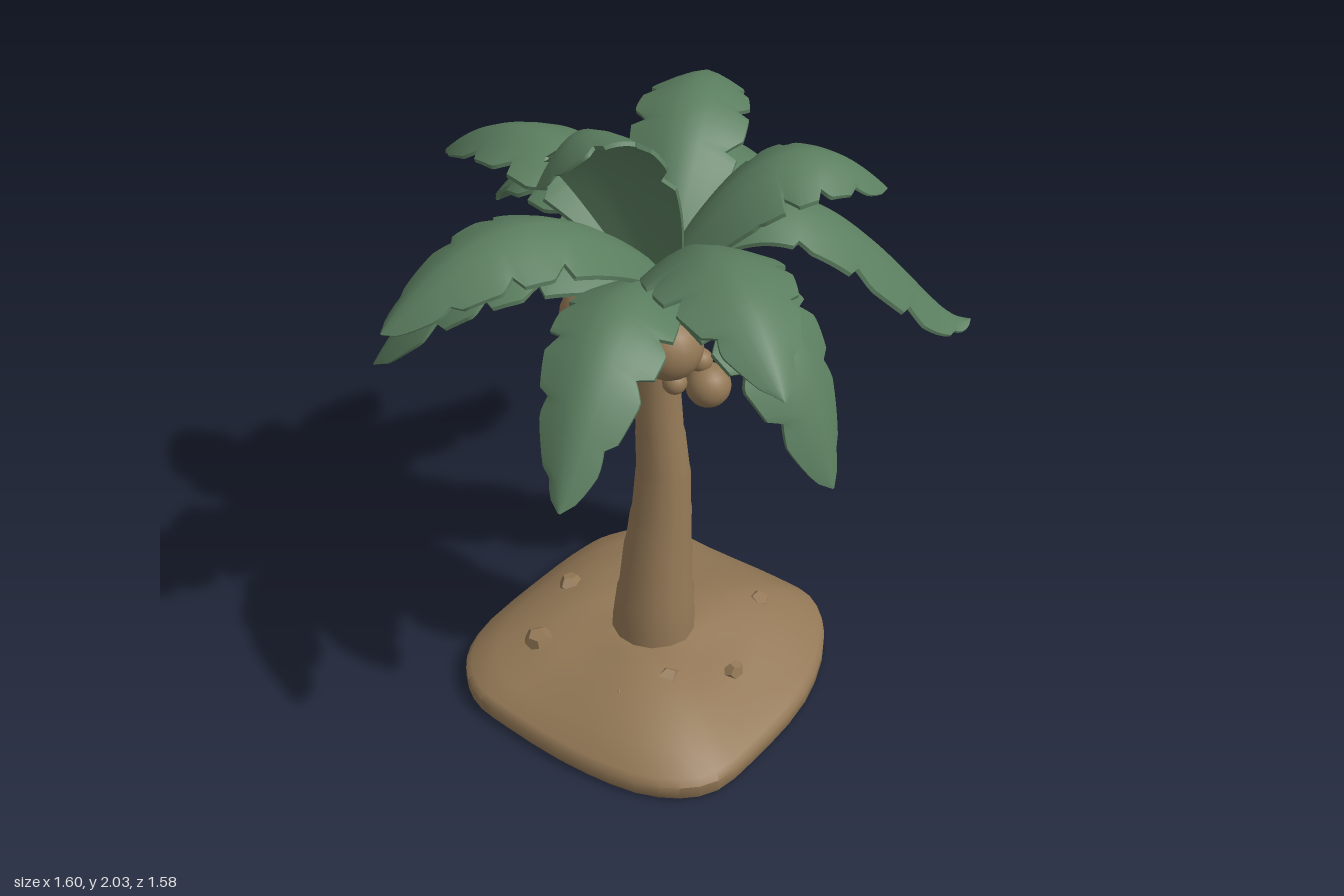
import * as THREE from 'three';
import { toCreasedNormals } from 'three/addons/utils/BufferGeometryUtils.js';

const bark = new THREE.MeshStandardMaterial({ color: 0x937856 });
bark.name = 'bark brown';
const frond = new THREE.MeshStandardMaterial({ color: 0x5b7e5f });
frond.name = 'frond green';

// Skin a list of closed rings (arrays of Vector3) into one surface
function loft(rings, crease = 0.7) {
  const n = rings[0].length, pos = [], idx = [];
  rings.forEach(r => r.forEach(p => pos.push(p.x, p.y, p.z)));
  for (let i = 0; i < rings.length - 1; i++) {
    for (let j = 0; j < n; j++) {
      const a = i * n + j, b = i * n + (j + 1) % n;
      idx.push(a, b, a + n, b, b + n, a + n);
    }
  }
  const g = new THREE.BufferGeometry();
  g.setAttribute('position', new THREE.Float32BufferAttribute(pos, 3));
  g.setIndex(idx);
  return toCreasedNormals(g, crease);
}

// Sandy mound: a rounded, skewed square outline shrunk towards the trunk
function moundGeometry() {
  const outline = [[0.2, -0.5], [0.36, -0.43], [0.45, -0.2], [0.53, 0.03], [0.55, 0.13], [0.48, 0.28],
    [0.28, 0.44], [0, 0.54], [-0.2, 0.57], [-0.34, 0.48], [-0.45, 0.28], [-0.53, 0], [-0.55, -0.15],
    [-0.5, -0.28], [-0.39, -0.37], [-0.1, -0.46], [0.1, -0.5]].map(p => new THREE.Vector3(p[0], 0, p[1]));
  const loop = new THREE.CatmullRomCurve3(outline.reverse(), true).getPoints(48).slice(0, -1);
  const centre = new THREE.Vector3(-0.02, 0, 0.03);
  const profile = [[0, 0], [0.98, 0], [1, 0.015], [1, 0.055], [0.97, 0.075], [0.83, 0.112],
    [0.68, 0.15], [0.52, 0.176], [0.35, 0.192], [0.24, 0.2], [0, 0.205]];
  return loft(profile.map(([s, y]) => loop.map(p => {
    const q = centre.clone().lerp(p, s);
    const bump = s < 0.9 && s > 0.3 ? 0.012 * Math.sin(3 * Math.atan2(p.z, p.x) + 1) : 0;
    q.y = y + bump;
    return q;
  })));
}

// Trunk: stacked segments, each with a slightly proud upper rim
function trunkGeometry() {
  const path = new THREE.CatmullRomCurve3([
    [-0.013, 0.17, 0.035], [0, 0.5, 0.045], [0.016, 0.8, 0.045], [0.002, 1.05, 0.037], [0, 1.48, 0.035],
  ].map(p => new THREE.Vector3(...p)));
  const levels = [0.17, 0.34, 0.5, 0.64, 0.79, 0.94, 1.08, 1.22, 1.48];
  const radius = y => 0.062 + 0.07 * Math.pow(Math.max(0, (1.2 - y) / 1.03), 1.5);
  const rings = [];
  const ring = (y, r, k) => {
    // the path is close to vertical, so look its centre up by height
    let t = 0;
    while (t < 1 && path.getPoint(t).y < y) t += 0.005;
    const c = path.getPoint(Math.min(t, 1)), pts = [];
    for (let j = 0; j < 14; j++) {
      const a = j / 14 * Math.PI * 2;
      pts.push(new THREE.Vector3(c.x + r * Math.cos(a), y + 0.012 * Math.cos(a + k * 2.1), c.z - r * Math.sin(a)));
    }
    rings.push(pts);
  };
  for (let k = 0; k < levels.length - 1; k++) {
    const y0 = levels[k], y1 = levels[k + 1];
    ring(y0 + 0.008, radius(y0) * 0.99, k);
    ring(y1 - 0.015, radius(y1) * 1.04, k + 1);
  }
  return loft(rings, 1.2);
}

// Frond: an arched blade along a bent midrib, with notched edges.
// rise/bend place the midrib's control point, dip bends the tip up again,
// blunt rounds the tip (smaller is rounder) and roll turns the blade about its midrib.
function frondGeometry({ tip, rise, bend = 0.5, dip, width, droop = 0.4, blunt = 0.55, roll = 0, base = 1.49 }, seed) {
  const root = new THREE.Vector3(0.005, base, 0.05), end = new THREE.Vector3(...tip);
  const control = root.clone().lerp(end, bend).setY(rise);
  const rib = dip
    ? new THREE.CubicBezierCurve3(root, control, root.clone().lerp(end, 0.85).setY(dip), end)
    : new THREE.QuadraticBezierCurve3(root, control, end);
  const dir = end.clone().sub(root).setY(0).normalize();
  const flat = dir.clone().cross(new THREE.Vector3(0, 1, 0));
  const us = [-1, -0.66, -0.33, 0, 0.33, 0.66, 1], rows = 48, rings = [];
  for (let i = 0; i <= rows; i++) {
    const t = i / rows;
    const c = rib.getPoint(t), tangent = rib.getTangent(t);
    const side = flat.clone().applyAxisAngle(tangent, roll);
    const normal = side.clone().cross(tangent);
    const w = width * Math.pow(Math.max(0.001, Math.sin(Math.PI * (0.05 + 0.95 * t))), blunt);
    const point = (u, lower) => {
      // narrow notches cut into the outer part of either edge
      const phase = t * 5 + seed * 0.37 + (u < 0 ? 0.45 : 0);
      const f = phase - Math.floor(phase);
      const notch = t > 0.3 && f < 0.35 ? 0.74 + 0.26 * f / 0.35 : 1;
      const half = w * (Math.abs(u) > 0.9 ? notch : 0.97);
      const thick = lower * (0.022 - 0.01 * Math.abs(u)) * (1 - 0.85 * t ** 6);
      return c.clone().addScaledVector(side, u * half)
        .addScaledVector(normal, -droop * half * Math.pow(Math.abs(u), 1.4) - thick);
    };
    rings.push([...us.map(u => point(u, 0)), ...us.slice().reverse().map(u => point(u, 1))]);
  }
  return loft(rings, 0.75);
}

export function createModel() {
  const model = new THREE.Group();
  model.name = 'palmTree';
  const add = (name, geometry, material, parent = model) => {
    const mesh = new THREE.Mesh(geometry, material);
    mesh.name = name;
    parent.add(mesh);
    return mesh;
  };
  const group = name => {
    const g = new THREE.Group();
    g.name = name;
    model.add(g);
    return g;
  };

  add('mound', moundGeometry(), bark);
  add('trunk', trunkGeometry(), bark);

  // Pebbles half sunk in the mound: x, y, z, radius
  const pebbles = group('pebbles');
  [[-0.25, 0.15, 0.2, 0.035], [-0.19, 0.15, 0.27, 0.032], [-0.11, 0.165, 0.24, 0.045], [0.33, 0.145, 0.12, 0.045],
    [0.25, 0.15, -0.24, 0.038], [0.2, 0.145, -0.31, 0.035], [-0.32, 0.16, -0.14, 0.045], [-0.1, 0.16, -0.28, 0.04],
    [0.08, 0.15, 0.32, 0.035]].forEach(([x, y, z, r], i) => {
    const p = add('pebble', new THREE.DodecahedronGeometry(r), bark, pebbles);
    p.position.set(x, y, z);
    p.rotation.set(i, i * 2, 0);
    p.scale.y = 0.8;
  });

  // Coconuts, from large to tiny: x, y, z, radius
  const coconuts = group('coconuts');
  [[0.1, 1.345, 0.075, 0.108], [-0.14, 1.345, -0.05, 0.105], [0.03, 1.34, -0.11, 0.092], [-0.06, 1.33, 0.17, 0.095],
    [-0.125, 1.18, 0.015, 0.066], [0.09, 1.125, 0.155, 0.065], [-0.04, 1.2, 0.17, 0.035], [0.03, 1.2, -0.07, 0.032],
    [0.08, 1.2, 0.13, 0.035]].forEach(([x, y, z, r]) => {
    add('coconut', new THREE.SphereGeometry(r, 18, 12), bark, coconuts).position.set(x, y, z);
  });

  // Crown: one upright frond, an upper ring and a drooping lower ring
  const crown = group('crown');
  [
    { tip: [-0.37, 1.86, 0.02], rise: 2.24, bend: 0.45, width: 0.18, droop: 0.3, roll: 0.55 },
    { tip: [0.55, 1.69, -0.42], rise: 2.03, width: 0.16 },
    { tip: [0.54, 1.69, 0.34], rise: 2.03, width: 0.16 },
    { tip: [-0.18, 1.57, 0.79], rise: 1.98, width: 0.18, blunt: 0.65 },
    { tip: [-0.8, 1.55, -0.06], rise: 1.98, width: 0.17 },
    { tip: [-0.19, 1.57, -0.72], rise: 1.98, width: 0.15 },
    { tip: [0.8, 1.31, -0.46], rise: 2.06, bend: 0.45, dip: 1.22, width: 0.16, blunt: 0.8, base: 1.46 },
    { tip: [0.8, 1.22, 0.45], rise: 2.07, bend: 0.45, dip: 1.18, width: 0.16, blunt: 0.8, base: 1.46 },
    { tip: [0.12, 1.07, 0.66], rise: 1.78, bend: 0.75, width: 0.18, base: 1.46 },
    { tip: [-0.61, 1.2, 0.44], rise: 1.8, bend: 0.6, width: 0.16, base: 1.46 },
    { tip: [-0.67, 1.22, -0.37], rise: 1.8, bend: 0.6, width: 0.16, base: 1.46 },
    { tip: [0.02, 1.29, -0.79], rise: 1.86, bend: 0.55, width: 0.16, blunt: 0.7, base: 1.46 },
  ].forEach((f, i) => add('frond', frondGeometry(f, i), frond, crown));

  return model;
}
